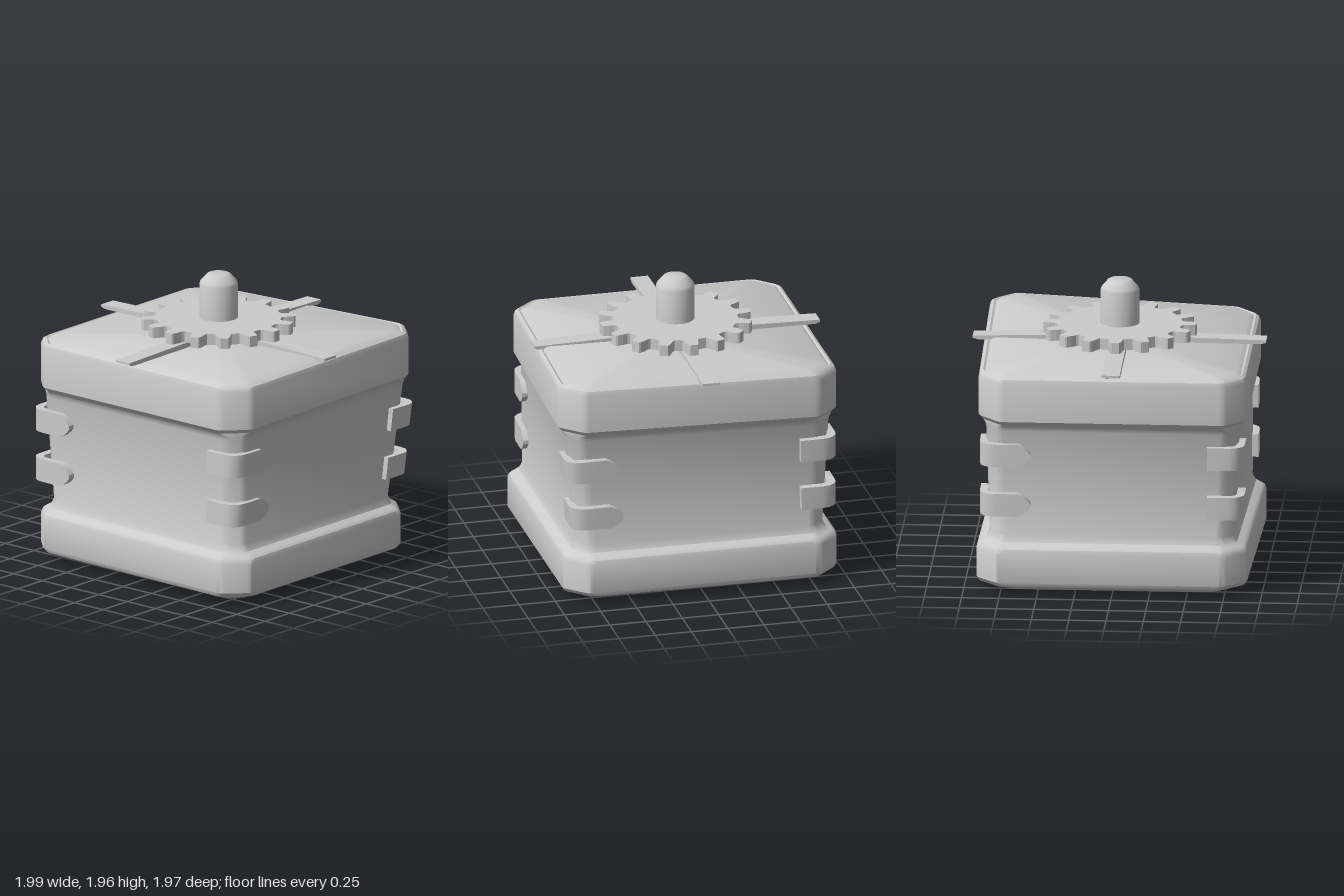
import * as THREE from 'three';
import { mergeVertices, toCreasedNormals } from 'three/addons/utils/BufferGeometryUtils.js';

const material = new THREE.MeshStandardMaterial({ color: 0xcccccc });

function part(name, geometry, parent) {
  const mesh = new THREE.Mesh(geometry, material);
  mesh.name = name;
  parent.add(mesh);
  return mesh;
}

// Skin a row of equal-length rings of Vector3
function loft(rings, crease) {
  const n = rings[0].length;
  const index = [];
  for (let i = 0; i < rings.length - 1; i++) {
    for (let j = 0; j < n; j++) {
      const a = i * n + j, b = i * n + (j + 1) % n;
      index.push(a, a + n, b + n, a, b + n, b);
    }
  }
  const g = new THREE.BufferGeometry().setFromPoints(rings.flat());
  g.setIndex(index);
  return toCreasedNormals(mergeVertices(g, 1e-5), crease);
}

// Lopsided casting: the back right top corner is pushed out and raised
function warp(p, isStrap = false) {
  const u = (p.x / 0.92 + 1) / 2, v = (1 - p.z / 0.9) / 2;
  const t = THREE.MathUtils.clamp((p.y - 0.36) / 0.8, 0, 1);
  const base = isStrap ? 0 : 1 - t;
  p.x += u * (0.04 * base + 0.09 * v * t);
  p.z += 0.04 * base * u * (1 - v) - 0.02 * base * (1 - u) * v - 0.03 * t * u * v;
  if (!isStrap) p.y += 0.06 * u * v * t;
  return p;
}

// Square ring with chamfered, softly rounded corners
function housingRing([y, r, chamfer]) {
  const e = Math.min(0.03, chamfer * 0.35), d = e * 0.7071;
  const s = r - chamfer;
  const soften = (a, b, c) => [0, 0.5, 1].map((t) => new THREE.Vector2(
    (1 - t) ** 2 * a[0] + 2 * t * (1 - t) * b[0] + t * t * c[0],
    (1 - t) ** 2 * a[1] + 2 * t * (1 - t) * b[1] + t * t * c[1]));
  const corner = [
    ...soften([r, s - e], [r, s], [r - d, s + d]),
    ...soften([s + d, r - d], [s, r], [s - e, r]),
  ];
  const ring = [];
  for (let k = 0; k < 4; k++) {
    for (const q of corner) {
      const p = q.clone().rotateAround(new THREE.Vector2(), k * Math.PI / 2);
      ring.push(warp(new THREE.Vector3(p.x, y, p.y * 0.97)));
    }
  }
  return ring;
}

// Height, half width, corner chamfer
const housingProfile = [
  [0, 0, 0], [0, 0.75, 0.1], [0.012, 0.79, 0.1], [0.05, 0.87, 0.12],
  [0.06, 0.908, 0.15], [0.09, 0.925, 0.15], [0.29, 0.925, 0.15],
  [0.32, 0.915, 0.15], [0.335, 0.895, 0.14], [0.355, 0.855, 0.1],
  [0.4, 0.835, 0.09], [1.13, 0.872, 0.09], [1.16, 0.882, 0.1],
  [1.18, 0.9, 0.14], [1.21, 0.925, 0.15], [1.47, 0.925, 0.15],
  [1.5, 0.915, 0.15], [1.513, 0.895, 0.14], [1.505, 0.88, 0.13],
  [1.525, 0.85, 0.12], [1.525, 0, 0],
];

// Corner strap stations: x, z, half height; square at one end, pointed at the other
const strapPath = [
  [0.652, 0.905, 0.078], [0.8, 0.905, 0.078], [0.845, 0.897, 0.078],
  [0.875, 0.875, 0.078], [0.897, 0.845, 0.078], [0.905, 0.8, 0.078],
  [0.905, 0.64, 0.078], [0.905, 0.605, 0.06], [0.905, 0.575, 0.035], [0.905, 0.558, 0.012],
];

function strapGeometry(y, angle) {
  const up = new THREE.Vector3(0, 1, 0);
  const rings = strapPath.map(([x, z, h], i) => {
    const a = strapPath[Math.max(i - 1, 0)], b = strapPath[Math.min(i + 1, strapPath.length - 1)];
    const normal = new THREE.Vector2(-(b[1] - a[1]), b[0] - a[0]).normalize();
    return [[0, -h], [0, h], [0.055, h], [0.055, -h]].map(([depth, dy]) => {
      const p = new THREE.Vector3(x - normal.x * depth, y + dy, z - normal.y * depth);
      p.applyAxisAngle(up, angle);
      p.z *= 0.98;
      return warp(p, true);
    });
  });
  // Close both ends
  const collapse = (ring) => {
    const c = ring.reduce((s, p) => s.add(p), new THREE.Vector3()).divideScalar(4);
    return ring.map(() => c.clone());
  };
  return loft([collapse(rings[0]), ...rings, collapse(rings[rings.length - 1])], 0.6);
}

function gearGeometry() {
  const teeth = 16, points = [];
  const tooth = [[-0.13, 0.42], [-0.105, 0.435], [-0.09, 0.47], [-0.068, 0.505], [-0.05, 0.515],
    [0.05, 0.515], [0.068, 0.505], [0.09, 0.47], [0.105, 0.435], [0.13, 0.42]];
  for (let i = 0; i < teeth; i++) {
    for (const [da, r] of tooth) {
      const a = i / teeth * Math.PI * 2 + da;
      points.push(new THREE.Vector2(Math.cos(a) * r, Math.sin(a) * r));
    }
  }
  const g = new THREE.ExtrudeGeometry(new THREE.Shape(points), { depth: 0.075, bevelEnabled: false });
  return g.rotateX(-Math.PI / 2).translate(0, 1.58, 0);
}

export function createModel() {
  const model = new THREE.Group();
  model.name = 'gearBox';
  model.position.x = -0.017;

  part('housing', loft(housingProfile.map(housingRing), 0.6), model);

  // Two straps around each corner
  const straps = new THREE.Group();
  straps.name = 'cornerStraps';
  model.add(straps);
  for (let k = 0; k < 4; k++) {
    for (const y of [0.625, 0.968]) part('cornerStrap', strapGeometry(y, k * Math.PI / 2), straps);
  }

  // Four flat bars spreading from under the gear, dipping outward
  const barShape = new THREE.Shape([[0, 1.54], [0.95, 1.535], [0.983, 1.545], [0.983, 1.562], [0, 1.582]]
    .map(([x, y]) => new THREE.Vector2(x, y)));
  const bar = new THREE.ExtrudeGeometry(barShape, { depth: 0.12, bevelEnabled: false }).translate(0, 0, -0.06);
  for (let k = 0; k < 4; k++) part('lidBar', bar, model).rotation.y = k * Math.PI / 2;

  part('gear', gearGeometry(), model);

  // Shaft with a chamfered tip
  const shaft = new THREE.LatheGeometry([[0.13, 1.56], [0.13, 1.885], [0.122, 1.905], [0.08, 1.952], [0.07, 1.957], [0, 1.957]]
    .map(([r, y]) => new THREE.Vector2(r, y)), 40);
  part('shaft', toCreasedNormals(shaft, 0.5), model);

  return model;
}
